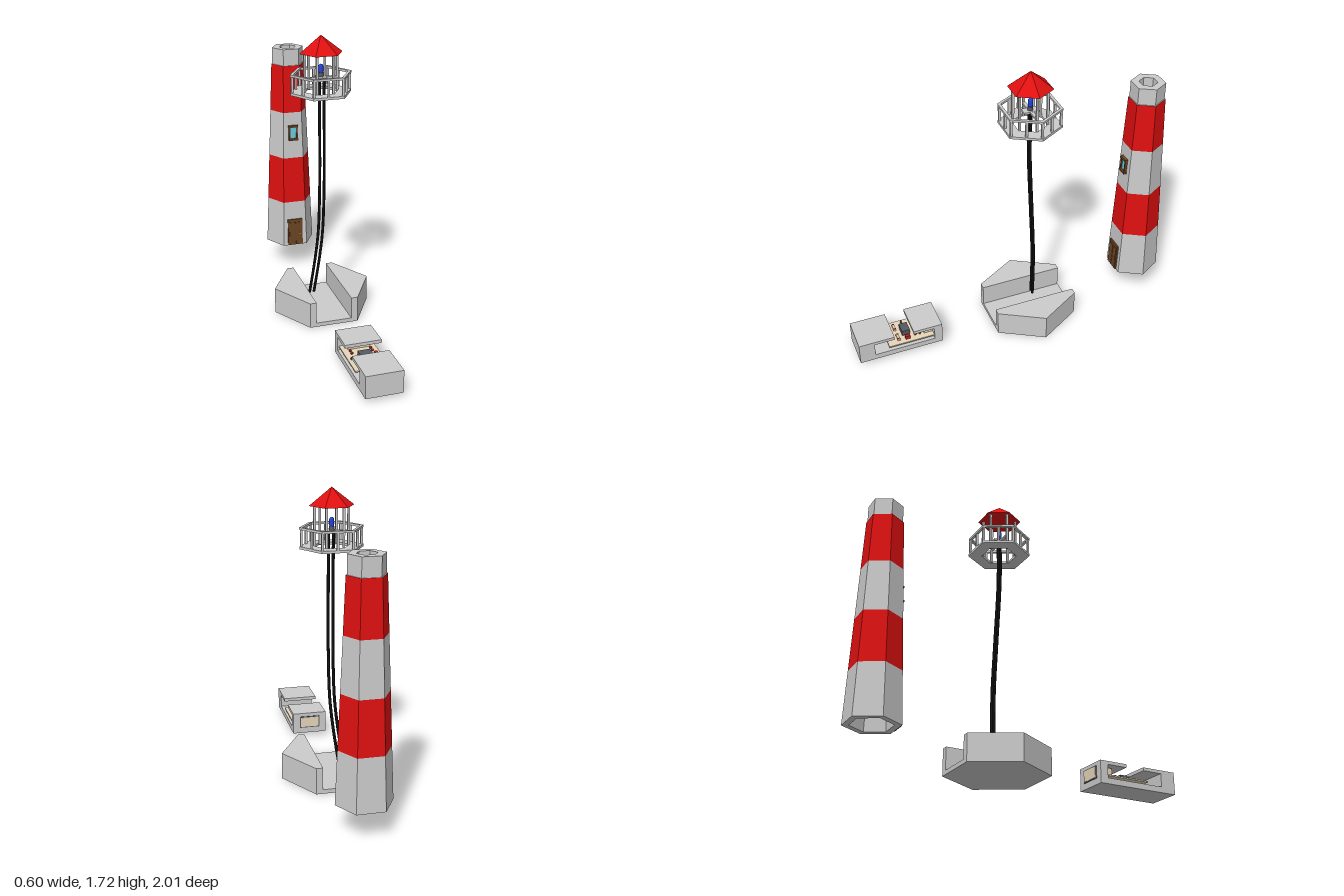
import * as THREE from 'three';

const paint = (color) => new THREE.MeshStandardMaterial({ color, flatShading: true });
const GREY = paint(0xcccccc), RED = paint(0xe01010), BROWN = paint(0x6b4423), BEIGE = paint(0xe6d5b8);
const BLACK = paint(0x1c1c1c), BLUE = paint(0x2244dd), GLASS = paint(0x66ccdd), DARK = paint(0x555a60);
const BUTTON = paint(0xbb2222), BRASS = paint(0xb08d3c);

function add(parent, name, geometry, material, x = 0, y = 0, z = 0) {
  const mesh = new THREE.Mesh(geometry, material);
  mesh.name = name;
  mesh.position.set(x, y, z);
  parent.add(mesh);
  return mesh;
}

const box = (parent, name, material, size, pos) =>
  add(parent, name, new THREE.BoxGeometry(...size), material, ...pos);

const group = (parent, name, z = 0) => {
  const g = new THREE.Group();
  g.name = name;
  g.position.z = z;
  parent.add(g);
  return g;
};

// Six-sided lathe with corners on the x axis
const hexLathe = (points) =>
  new THREE.LatheGeometry(points.map(([r, y]) => new THREE.Vector2(r, y)), 6, Math.PI / 2);

// Hexagonal ring of rectangular section
const hexRing = (outer, inner, y0, y1) =>
  hexLathe([[inner, y0], [outer, y0], [outer, y1], [inner, y1], [inner, y0]]);

const hexPoint = (r, i) => [r * Math.cos(i * Math.PI / 3), r * Math.sin(i * Math.PI / 3)];

// Flat outline (x, z) raised from y0 to y1
function prism(points, y0, y1) {
  const shape = new THREE.Shape(points.map(([x, z]) => new THREE.Vector2(x, -z)));
  const g = new THREE.ExtrudeGeometry(shape, { depth: y1 - y0, bevelEnabled: false });
  return g.rotateX(-Math.PI / 2).translate(0, y0, 0);
}

function buildBase(root) {
  const base = group(root, 'base', -0.13);
  const hex = [0, 1, 2, 3, 4, 5].map((i) => hexPoint(0.3, i));
  add(base, 'baseFloor', prism(hex, 0, 0.025), GREY);
  for (const s of [1, -1]) {
    const side = [[0.11, 0.26], [0.15, 0.26], [0.3, 0], [0.15, -0.26], [0.11, -0.26]];
    add(base, 'baseSide', prism(side.map(([x, z]) => [s * x, z]), 0.025, 0.16), GREY);
  }
}

function buildTower(root) {
  const tower = group(root, 'tower', -0.87);
  const y0 = 0.165, y1 = 1.395;
  const radius = (y) => 0.16 - 0.052 * (y - y0) / (y1 - y0);

  // Striped outer wall
  for (let i = 0; i < 4; i++) {
    const a = y0 + i * (y1 - y0) / 4, b = y0 + (i + 1) * (y1 - y0) / 4;
    add(tower, 'towerBand', hexLathe([[radius(a), a], [radius(b), b]]), i % 2 ? RED : GREY);
  }
  // Neck, inner wall and bottom rim
  add(tower, 'towerNeckAndLining', hexLathe([[0.108, y1], [0.102, y1], [0.102, 1.5],
    [0.055, 1.5], [0.055, 1.4], [0.12, y0], [0.16, y0]]), GREY);

  // Fittings follow the slope of the front wall
  const slope = -Math.atan(0.052 * 0.866 / (y1 - y0));
  const fitting = (name, y) => {
    const g = group(tower, name, radius(y) * 0.866);
    g.position.y = y;
    g.rotation.x = slope;
    return g;
  };
  const door = fitting('door', 0.26);
  box(door, 'doorFrame', BROWN, [0.1, 0.18, 0.014], [0, 0, 0.003]);
  for (const x of [-0.022, 0.022]) box(door, 'doorPanel', BROWN, [0.038, 0.15, 0.008], [x, -0.005, 0.009]);
  box(door, 'doorHandle', BRASS, [0.008, 0.012, 0.01], [0.03, -0.01, 0.014]);

  const win = fitting('window', 0.952);
  box(win, 'windowGlass', GLASS, [0.042, 0.075, 0.008], [0, 0, 0.003]);
  for (const s of [1, -1]) {
    box(win, 'windowJamb', BROWN, [0.01, 0.095, 0.018], [s * 0.024, 0, 0.006]);
    box(win, 'windowSill', BROWN, [0.062, 0.012, 0.024], [0, s * 0.044, 0.008]);
  }
}

function buildLantern(root) {
  const lantern = group(root, 'lantern', -0.13);
  add(lantern, 'galleryFloor', hexRing(0.185, 0.105, 1.38, 1.395), GREY);
  add(lantern, 'galleryRail', hexRing(0.185, 0.166, 1.49, 1.503), GREY);

  // Railing posts at corners and side middles, roof posts at corners
  for (let i = 0; i < 6; i++) {
    const [x, z] = hexPoint(0.174, i), [nx, nz] = hexPoint(0.174, i + 1);
    for (const [px, pz] of [[x, z], [(x + nx) / 2, (z + nz) / 2]]) {
      box(lantern, 'railPost', GREY, [0.013, 0.1, 0.013], [px, 1.4425, pz]);
    }
    const [rx, rz] = hexPoint(0.098, i);
    box(lantern, 'roofPost', GREY, [0.013, 0.24, 0.013], [rx, 1.505, rz]);
  }
  add(lantern, 'roof', hexLathe([[0, 1.62], [0.13, 1.62], [0, 1.723]]), RED);

  // Lamp on its crossbar
  box(lantern, 'lampCrossbar', GREY, [0.19, 0.012, 0.02], [0, 1.473, 0]);
  box(lantern, 'lampPlate', GREY, [0.05, 0.012, 0.09], [0, 1.474, 0]);
  add(lantern, 'lampSocket', new THREE.CylinderGeometry(0.016, 0.016, 0.025, 12), DARK, 0, 1.49, 0);
  add(lantern, 'lamp', new THREE.CapsuleGeometry(0.014, 0.03, 5, 12), BLUE, 0, 1.525, 0);
}

function buildCables(root) {
  const cables = group(root, 'cables');
  for (const dx of [-0.013, 0.015]) {
    const path = new THREE.CatmullRomCurve3([
      [0.002, 1.47, -0.128], [0.003, 1.2, -0.126], [0.007, 0.8, -0.142],
      [0.002, 0.5, -0.158], [-0.014, 0.33, -0.167], [-0.036, 0.17, -0.175], [-0.05, 0.08, -0.179],
    ].map(([x, y, z]) => new THREE.Vector3(x + dx, y, z)));
    add(cables, 'cable', new THREE.TubeGeometry(path, 40, 0.009, 8), BLACK);
  }
}

function buildDrawer(root) {
  const drawer = group(root, 'drawer');
  // C-shaped side outline in (z, y), extruded across x
  const outline = [[0.48, 0.025], [1, 0.025], [1, 0.16], [0.78, 0.16], [0.78, 0.14], [0.905, 0.14],
    [0.905, 0.06], [0.53, 0.06], [0.53, 0.14], [0.66, 0.14], [0.66, 0.16], [0.48, 0.16]];
  const shape = new THREE.Shape(outline.map(([z, y]) => new THREE.Vector2(-z, y)));
  const body = new THREE.ExtrudeGeometry(shape, { depth: 0.216, bevelEnabled: false });
  add(drawer, 'drawerBody', body.rotateY(Math.PI / 2).translate(-0.108, 0, 0), GREY);

  // End plate
  box(drawer, 'endPlateFrame', DARK, [0.13, 0.076, 0.006], [0, 0.1, 0.479]);
  box(drawer, 'endPlate', BEIGE, [0.118, 0.064, 0.008], [0, 0.1, 0.478]);

  // Circuit board and its components
  const board = group(drawer, 'circuitBoard');
  box(board, 'board', BEIGE, [0.2, 0.008, 0.285], [0, 0.08, 0.672]);
  box(board, 'boardFoot', GREY, [0.06, 0.016, 0.05], [0, 0.068, 0.69]);
  box(board, 'batteryBox', BEIGE, [0.13, 0.05, 0.055], [0, 0.11, 0.558]);
  box(board, 'controller', DARK, [0.072, 0.035, 0.05], [0, 0.1, 0.69]);
  box(board, 'switch', BUTTON, [0.02, 0.022, 0.03], [0.066, 0.095, 0.69]);
  for (const x of [-0.08, -0.06]) {
    add(board, 'terminal', new THREE.CylinderGeometry(0.005, 0.005, 0.012, 8), DARK, x, 0.09, 0.69);
  }
  for (const x of [-0.045, 0.045]) {
    box(board, 'resistor', BEIGE, [0.05, 0.014, 0.014], [x, 0.091, 0.745]);
    for (const s of [1, -1]) box(board, 'resistorBand', BUTTON, [0.007, 0.016, 0.016], [x + s * 0.02, 0.091, 0.745]);
  }
  for (const [x, z] of [[0.06, 0.64], [-0.06, 0.64], [0.06, 0.612], [-0.06, 0.612]]) {
    add(board, 'indicator', new THREE.SphereGeometry(0.008, 10, 8), BUTTON, x, 0.093, z);
  }
}

export function createModel() {
  const root = new THREE.Group();
  root.name = 'explodedLighthouse';
  buildBase(root);
  buildTower(root);
  buildLantern(root);
  buildCables(root);
  buildDrawer(root);
  return root;
}
